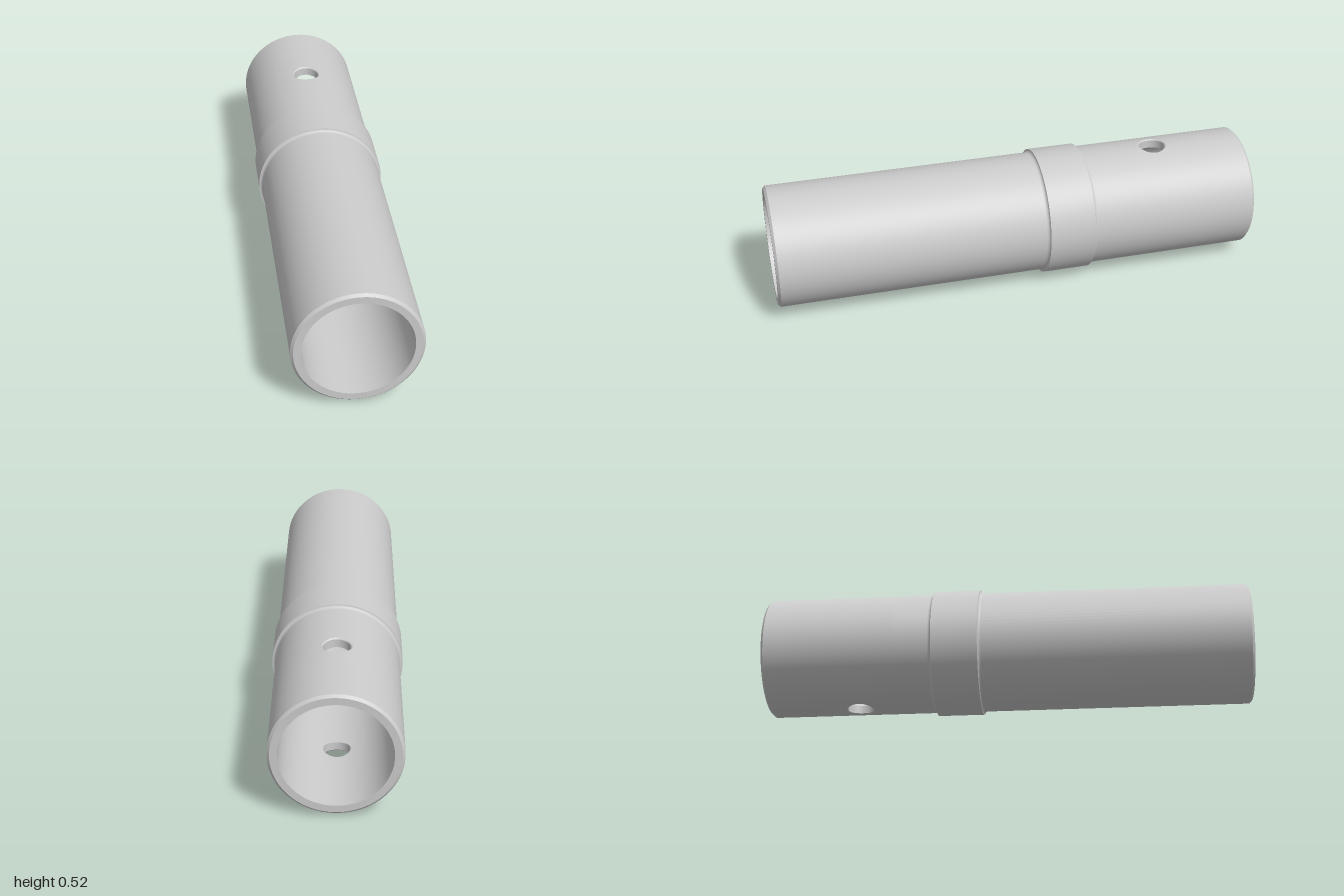
import * as THREE from 'three';
import { mergeGeometries, toCreasedNormals } from 'three/addons/utils/BufferGeometryUtils.js';

const OUTER = 0.248, INNER = 0.21, COLLAR = 0.261, CHAMFER = 0.01;
const HOLE_Z = -0.617, HOLE_R = 0.058, BORE_R = 0.053;
const PATCH_ANGLE = Math.PI / 6, PATCH_Z = 0.16, SEGMENTS = 96;
const Z0 = HOLE_Z - PATCH_Z, Z1 = HOLE_Z + PATCH_Z;

// Revolve [radius, z] points about the z axis; angle 0 points down
function revolve(profile, start = 0, sweep = Math.PI * 2) {
  const points = profile.map(([r, z]) => new THREE.Vector2(r, z));
  const segments = Math.round(SEGMENTS * sweep / (Math.PI * 2));
  const g = new THREE.LatheGeometry(points, segments, start, sweep).rotateX(Math.PI / 2);
  g.deleteAttribute('normal');
  g.deleteAttribute('uv');
  return g;
}

// Smooth normals with sharp edges; scaled up so tiny details are not welded
function crease(g) {
  return toCreasedNormals(g.scale(100, 100, 100), 0.45).scale(0.01, 0.01, 0.01);
}

// Piece of tube wall, outside and inside, pierced by a chamfered round hole
function piercedPatch() {
  const side = SEGMENTS * PATCH_ANGLE / Math.PI, count = side * 4;
  // [tube radius, hole radius, blend from hole rim (0) to patch border (1)]
  const rings = [];
  for (let i = 6; i >= 0; i--) rings.push([OUTER, HOLE_R, i / 6]);
  rings.push([OUTER - 0.005, BORE_R, 0]);
  for (let i = 0; i <= 6; i++) rings.push([INNER, BORE_R, i / 6]);

  const positions = [], index = [];
  rings.forEach(([R, hole, blend], i) => {
    for (let k = 0; k < count; k++) {
      const t = -1 + 2 * (k % side) / side;
      const [u, v] = [[1, t], [-t, 1], [-1, -t], [t, -1]][Math.floor(k / side)];
      const a = Math.atan2(v, u);
      const theta = THREE.MathUtils.lerp(Math.asin(hole * Math.cos(a) / R), u * PATCH_ANGLE, blend);
      const dz = THREE.MathUtils.lerp(hole * Math.sin(a), v * PATCH_Z, blend);
      positions.push(R * Math.sin(theta), R * Math.cos(theta), HOLE_Z - dz);
      if (i < rings.length - 1) {
        const A = i * count + k, B = i * count + (k + 1) % count;
        index.push(A, B, A + count, B, B + count, A + count);
      }
    }
  });
  const g = new THREE.BufferGeometry();
  g.setAttribute('position', new THREE.Float32BufferAttribute(positions, 3));
  g.setIndex(index);
  return g;
}

function tubeGeometry() {
  const parts = [
    // long front length with chamfered mouth
    revolve([[OUTER, Z1], [OUTER, 1 - CHAMFER], [OUTER - CHAMFER, 1], [INNER, 1], [INNER, Z1]]),
    // back end with chamfered mouth
    revolve([[INNER, Z0], [INNER, -1], [OUTER - CHAMFER, -1], [OUTER, -1 + CHAMFER], [OUTER, Z0]]),
  ];
  // band around the cross hole: side walls, then top and bottom patches
  for (const turn of [0, Math.PI]) {
    const start = turn + PATCH_ANGLE, sweep = Math.PI - 2 * PATCH_ANGLE;
    parts.push(revolve([[OUTER, Z0], [OUTER, Z1]], start, sweep));
    parts.push(revolve([[INNER, Z1], [INNER, Z0]], start, sweep));
    parts.push(piercedPatch().rotateZ(turn));
  }
  return crease(mergeGeometries(parts));
}

// Raised band that blends into the tube with small concave fillets
function collarGeometry() {
  const f = COLLAR - OUTER, back = -0.3, front = -0.11, steps = 6;
  const profile = [];
  for (let i = 0; i <= steps; i++) {
    const a = i / steps * Math.PI / 2;
    profile.push([COLLAR - f * Math.cos(a), back - f + f * Math.sin(a)]);
  }
  for (let i = steps; i >= 0; i--) {
    const a = i / steps * Math.PI / 2;
    profile.push([COLLAR - f * Math.cos(a), front + f - f * Math.sin(a)]);
  }
  return crease(revolve(profile));
}

export function createModel() {
  const group = new THREE.Group();
  group.name = 'collaredTube';
  const material = new THREE.MeshStandardMaterial({ color: 0xcccccc });
  const add = (name, geometry) => {
    const mesh = new THREE.Mesh(geometry, material);
    mesh.name = name;
    mesh.position.y = COLLAR;
    group.add(mesh);
  };
  add('tube', tubeGeometry());
  add('collar', collarGeometry());
  return group;
}
